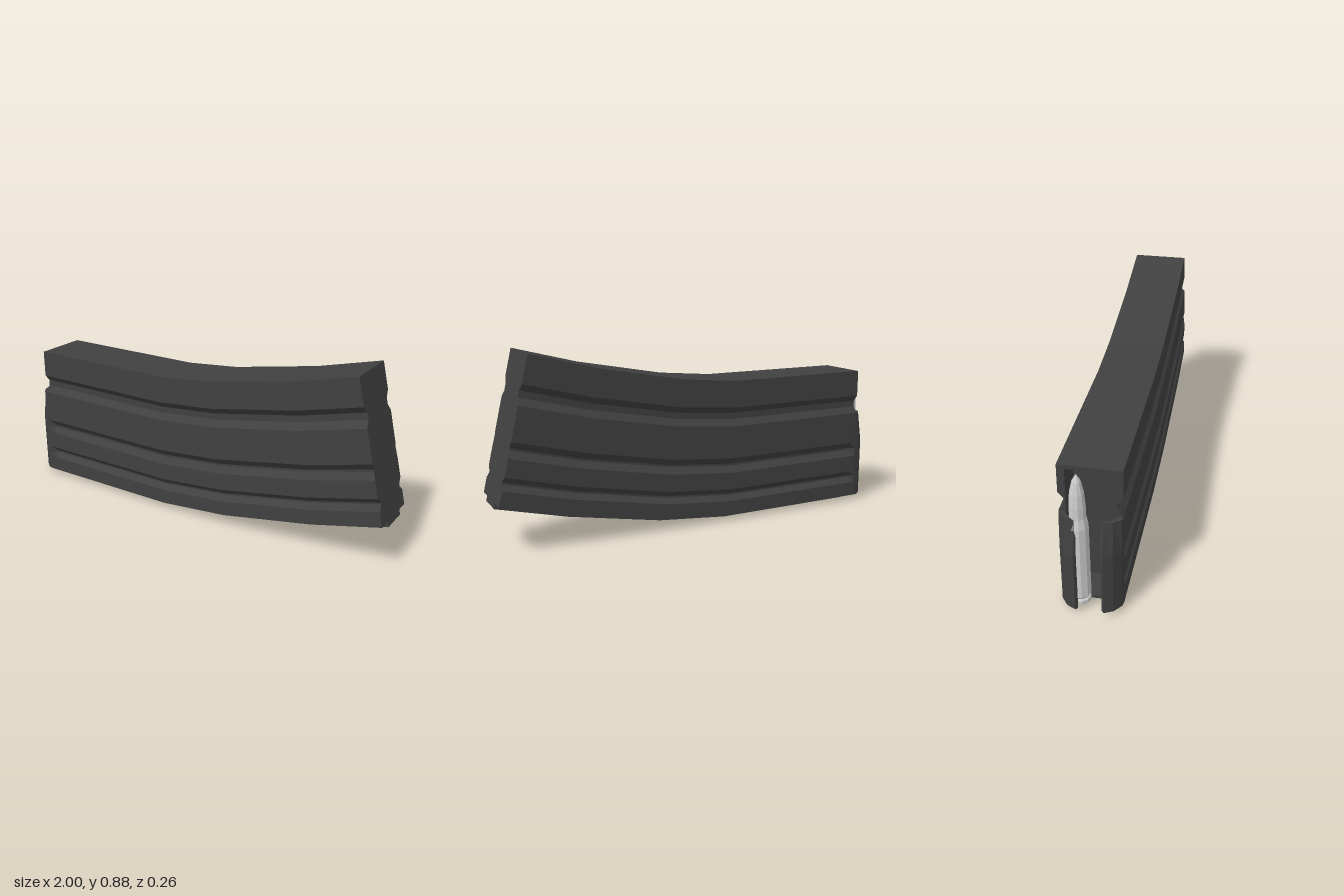
import * as THREE from 'three';

const dark = new THREE.MeshStandardMaterial({ color: 0x404040, flatShading: true, side: THREE.DoubleSide });
const grey = new THREE.MeshStandardMaterial({ color: 0xcccccc, flatShading: true });

// Closed loft through equal-length rings; section is the 2D outline used to fill the ends.
// holeRing, if given, is left open in the first cap.
function loft(rings, section, holeRing, holeSection) {
  const tris = [];
  const n = section.length;
  for (let i = 0; i < rings.length - 1; i++) {
    for (let j = 0; j < n; j++) {
      const k = (j + 1) % n;
      const a = rings[i][j], b = rings[i][k], c = rings[i + 1][k], d = rings[i + 1][j];
      tris.push([a, b, c], [a, c, d]);
    }
  }
  const wind = THREE.ShapeUtils.isClockWise(section) ? -1 : 1;
  const addCap = (ring, pts, holes, flip) => {
    for (const [a, b, c] of THREE.ShapeUtils.triangulateShape(pts.slice(), holes)) {
      const area = THREE.ShapeUtils.area([a, b, c].map((q) => [...pts, ...holes.flat()][q]));
      const swap = (area * wind > 0) === flip;
      tris.push(swap ? [ring[a], ring[c], ring[b]] : [ring[a], ring[b], ring[c]]);
    }
  };
  addCap(holeRing ? [...rings[0], ...holeRing] : rings[0], section, holeRing ? [holeSection] : [], true);
  addCap(rings[rings.length - 1], section, [], false);

  // turn every face outward
  let volume = 0;
  for (const [a, b, c] of tris) volume += a.dot(b.clone().cross(c));
  const pos = [];
  for (const [a, b, c] of tris) {
    for (const p of volume < 0 ? [a, c, b] : [a, b, c]) pos.push(p.x, p.y, p.z);
  }
  const g = new THREE.BufferGeometry();
  g.setAttribute('position', new THREE.Float32BufferAttribute(pos, 3));
  g.computeVertexNormals();
  return g;
}

// Stations along the curved body: top x, y and bottom x, y
const stations = [
  [-0.92, 0.70, -0.92, 0.028], [-0.885, 0.70, -0.885, 0.028],
  [-0.17, 0.70, -0.155, 0.028], [0.10, 0.725, 0.20, 0.062],
  [0.53, 0.805, 0.66, 0.15], [0.84, 0.885, 0.994, 0.235],
];
const HALF = 0.132, DEPTH = 0.025;

// Point on a station: v runs 0 (top) to 1 (bottom), z across
const place = ([tx, ty, bx, by], v, z) =>
  new THREE.Vector3(tx + (bx - tx) * v, ty + (by - ty) * v, z);

// Grooves: start, floor start, floor end, end, open at the mouth
const grooves = [
  [0.195, 0.24, 0.285, 0.333, true],
  [0.57, 0.617, 0.632, 0.678, false],
  [0.803, 0.843, 0.855, 0.893, false],
];

// Outline of the body as (z, v) pairs
function bodySection(atMouth) {
  const side = [[HALF, 0]];
  for (const [a, b, c, d, open] of grooves) {
    const z = HALF - (atMouth && !open ? 0 : DEPTH);
    side.push([HALF, a], [z, b], [z, c], [HALF, d]);
  }
  side.push([HALF, 1]);
  const mirrored = side.map(([z, v]) => [-z, v]).reverse();
  return [...side, ...mirrored].map(([z, v]) => new THREE.Vector2(z, v));
}

export function createModel() {
  const group = new THREE.Group();
  const add = (name, geometry, material) => {
    const m = new THREE.Mesh(geometry, material);
    m.name = name;
    group.add(m);
    return m;
  };

  // Curved casing with three grooves on each side and an open mouth
  const cavity = [[0.1, 0.025], [0.1, 0.975], [-0.1, 0.975], [-0.1, 0.025]]
    .map(([z, v]) => new THREE.Vector2(z, v));
  const rings = stations.map((s, i) => bodySection(i === 0).map((p) => place(s, p.y, p.x)));
  const mouthRing = cavity.map((p) => place(stations[0], p.y, p.x));
  add('casing', loft(rings, bodySection(true), mouthRing, cavity), dark);

  // Cavity walls and the plate that closes it
  const deep = [-0.79, 0.70, -0.79, 0.028];
  const pocket = [];
  const innerRing = cavity.map((p) => place(deep, p.y, p.x));
  for (let j = 0; j < 4; j++) {
    const k = (j + 1) % 4;
    const [a, b, c, d] = [mouthRing[j], mouthRing[k], innerRing[k], innerRing[j]];
    for (const p of [a, b, c, a, c, d]) pocket.push(p.x, p.y, p.z);
  }
  for (const j of [0, 1, 2, 0, 2, 3]) pocket.push(...innerRing[j].toArray());
  const pocketGeo = new THREE.BufferGeometry();
  pocketGeo.setAttribute('position', new THREE.Float32BufferAttribute(pocket, 3));
  pocketGeo.computeVertexNormals();
  add('cavity', pocketGeo, dark);

  // Raised spine along the bottom
  const spine = [[0.07, 0.99], [0.07, 1.037], [-0.07, 1.037], [-0.07, 0.99]]
    .map(([z, v]) => new THREE.Vector2(z, v));
  add('spine', loft(stations.slice(1).map((s) => spine.map((p) => place(s, p.y, p.x))), spine), dark);

  // Curled lips at the mouth, lower in depth towards their top
  const lip = [[0, 0.132], [0.025, 0.128], [0.062, 0.098], [0.08, 0.06],
    [0.07, 0.05], [0.045, 0.085], [0.015, 0.105], [0, 0.105]];
  for (const [name, sign] of [['leftLip', 1], ['rightLip', -1]]) {
    const outline = lip.map(([x, z]) => new THREE.Vector2(-0.92 - x, z * sign));
    const lipRings = [[0.028, 1], [0.32, 1], [0.478, 0.62]].map(([y, k]) =>
      lip.map(([x, z]) => new THREE.Vector3(-0.92 - x * k, y, z * sign)));
    add(name, loft(lipRings, outline), dark);
  }

  // Round resting in the mouth: rim, case, shoulder, neck and pointed tip
  const profile = [[0, 0.04], [0.045, 0.04], [0.045, 0.055], [0.038, 0.062], [0.046, 0.075],
    [0.044, 0.43], [0.035, 0.475], [0.035, 0.53], [0.03, 0.59], [0.018, 0.645], [0, 0.678]]
    .map(([r, y]) => new THREE.Vector2(r, y));
  add('round', new THREE.LatheGeometry(profile, 10), grey).position.set(-0.936, 0, -0.05);

  return group;
}
